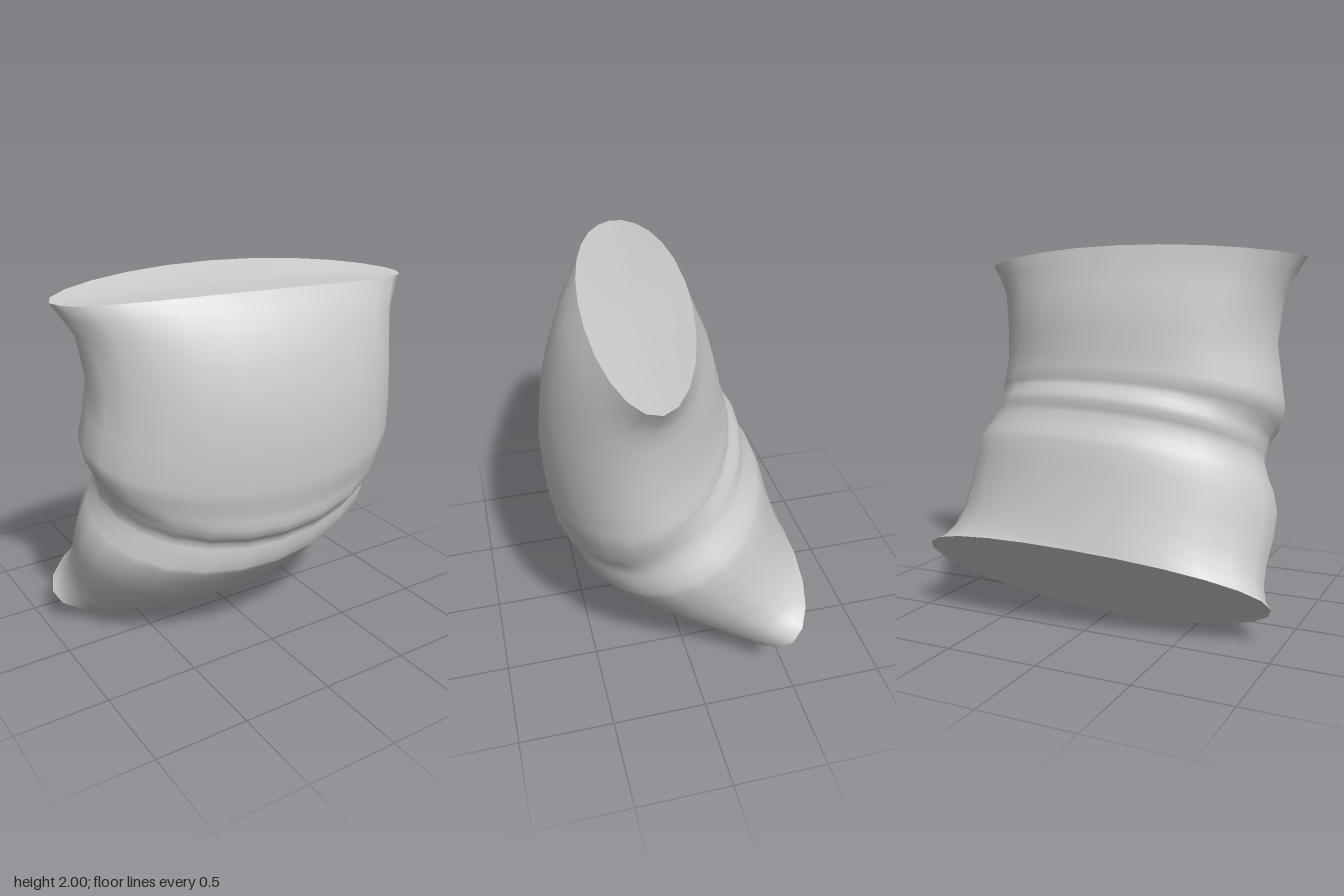
import * as THREE from 'three';

const SEGMENTS = 24;

// Cross-sections from the upper to the lower rim:
// front y, front z, back y, back z, half width at -x, half width at +x
const RINGS = [
  [1.945, 0.415, 2.0, -0.125, 0.99, 0.98],
  [1.87, 0.475, 1.9, -0.16, 0.935, 0.93],
  [1.78, 0.53, 1.8, -0.2, 0.88, 0.89],
  [1.65, 0.585, 1.7, -0.245, 0.855, 0.875],
  [1.45, 0.64, 1.57, -0.28, 0.83, 0.865],
  [1.22, 0.665, 1.45, -0.305, 0.855, 0.865],
  [1.0, 0.66, 1.38, -0.325, 0.88, 0.875],
  // folds around the waist
  [0.92, 0.65, 1.335, -0.34, 0.875, 0.88],
  [0.86, 0.633, 1.305, -0.335, 0.855, 0.875],
  [0.82, 0.634, 1.28, -0.345, 0.84, 0.87],
  [0.77, 0.63, 1.255, -0.372, 0.81, 0.86],
  [0.735, 0.622, 1.23, -0.398, 0.8, 0.855],
  [0.7, 0.595, 1.2, -0.413, 0.795, 0.85],
  [0.675, 0.563, 1.165, -0.408, 0.79, 0.86],
  [0.64, 0.56, 1.135, -0.415, 0.785, 0.87],
  [0.6, 0.563, 1.105, -0.433, 0.8, 0.885],
  [0.56, 0.55, 1.075, -0.445, 0.81, 0.9],
  [0.525, 0.545, 1.03, -0.48, 0.83, 0.915],
  [0.5, 0.525, 0.99, -0.5, 0.85, 0.92],
  // lower part, bent backward
  [0.42, 0.45, 0.9, -0.525, 0.88, 0.91],
  [0.3, 0.33, 0.78, -0.555, 0.885, 0.895],
  [0.17, 0.16, 0.65, -0.595, 0.875, 0.88],
  [0.08, 0.01, 0.56, -0.625, 0.885, 0.89],
  [0.025, -0.12, 0.5, -0.645, 0.915, 0.925],
  [0.005, -0.2, 0.475, -0.655, 0.95, 0.97],
];

// One closed oval; the sides twist gradually from the upper to the lower rim
function ringPoints([yF, zF, yB, zB, left, right], t) {
  const { lerp } = THREE.MathUtils;
  const tiltY = lerp(-0.015, 0.065, t);
  const tiltZ = lerp(0.085, -0.085, t * t);
  const sideY = lerp(-0.055, 0.02, Math.min(1, t * 3));
  const sideZ = 0.03 * t ** 4;
  const points = [];
  for (let j = 0; j < SEGMENTS; j++) {
    const a = (j / SEGMENTS) * Math.PI * 2;
    const s = Math.sin(a), c = Math.cos(a);
    points.push(new THREE.Vector3(
      s * (s < 0 ? left : right),
      (yF + yB) / 2 + c * (yF - yB) / 2 + tiltY * s + sideY * s * s,
      (zF + zB) / 2 + c * (zF - zB) / 2 + tiltZ * s + sideZ * s * s,
    ));
  }
  return points;
}

function makeGeometry(points, index) {
  const geometry = new THREE.BufferGeometry().setFromPoints(points);
  geometry.setIndex(index);
  geometry.computeVertexNormals();
  return geometry;
}

// Skin joining consecutive ovals
function skinGeometry(rings) {
  const index = [];
  for (let i = 0; i < rings.length - 1; i++) {
    for (let j = 0; j < SEGMENTS; j++) {
      const k = (j + 1) % SEGMENTS;
      const a = i * SEGMENTS + j, b = i * SEGMENTS + k;
      index.push(a, a + SEGMENTS, b + SEGMENTS, a, b + SEGMENTS, b);
    }
  }
  return makeGeometry(rings.flat(), index);
}

// Fan closing one rim
function capGeometry(ring, facesUp) {
  const centre = new THREE.Vector3();
  ring.forEach((p) => centre.addScaledVector(p, 1 / SEGMENTS));
  const index = [];
  for (let j = 0; j < SEGMENTS; j++) {
    const k = (j + 1) % SEGMENTS;
    index.push(SEGMENTS, facesUp ? j : k, facesUp ? k : j);
  }
  return makeGeometry([...ring, centre], index);
}

export function createModel() {
  const group = new THREE.Group();
  group.name = 'bentTorso';
  const material = new THREE.MeshStandardMaterial({ color: 0xcccccc });
  const rings = RINGS.map((r, i) => ringPoints(r, i / (RINGS.length - 1)));

  const add = (name, geometry) => {
    const mesh = new THREE.Mesh(geometry, material);
    mesh.name = name;
    group.add(mesh);
  };
  add('foldedSkin', skinGeometry(rings));
  add('upperCap', capGeometry(rings[0], true));
  add('lowerCap', capGeometry(rings[rings.length - 1], false));
  return group;
}
